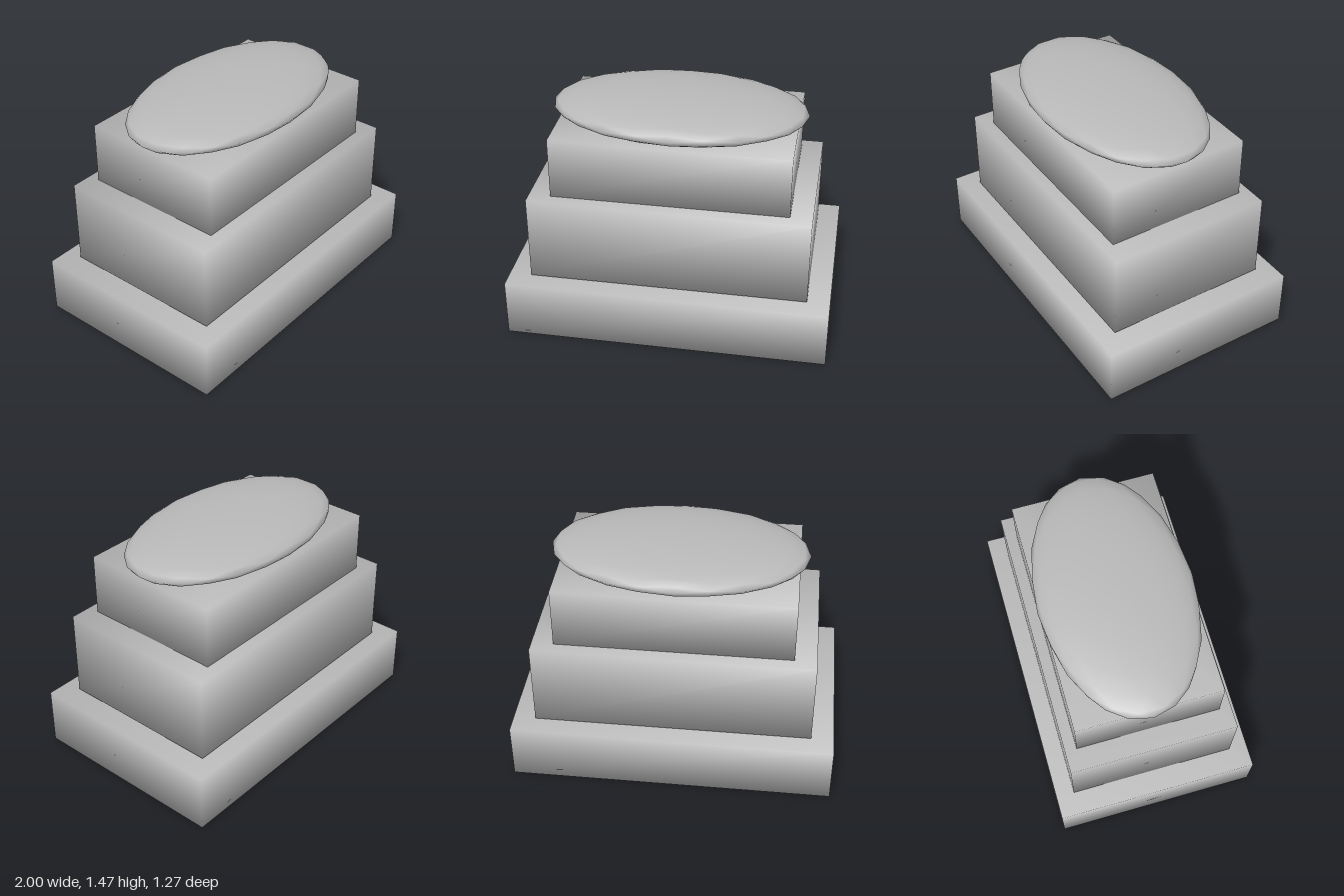
import * as THREE from 'three';
import { mergeVertices } from 'three/addons/utils/BufferGeometryUtils.js';

// Weld corners so that shading runs smoothly across every edge
function smooth(geometry) {
  geometry.deleteAttribute('normal');
  geometry.deleteAttribute('uv');
  const welded = mergeVertices(geometry, 1e-4);
  welded.computeVertexNormals();
  return welded;
}

export function createModel() {
  const group = new THREE.Group();
  const grey = new THREE.MeshStandardMaterial({ color: 0xb8b8b8 });
  grey.name = 'grey';

  const add = (name, geometry, y) => {
    const mesh = new THREE.Mesh(smooth(geometry), grey);
    mesh.name = name;
    mesh.position.y = y;
    group.add(mesh);
  };

  // Stacked tiers: name, width, depth, bottom, top
  const tiers = [
    ['bottomTier', 2, 1.27, 0, 0.365],
    ['middleTier', 1.72, 1.04, 0.372, 0.915],
    ['topTier', 1.45, 0.895, 0.917, 1.3],
  ];
  for (const [name, width, depth, bottom, top] of tiers) {
    add(name, new THREE.BoxGeometry(width, top - bottom, depth), (bottom + top) / 2);
  }

  // Flattened oval cap, its underside sunk into the top tier
  const cap = new THREE.IcosahedronGeometry(1, 3);
  cap.scale(0.785, 0.105, 0.47);
  add('ovalCap', cap, 1.36);

  return group;
}
